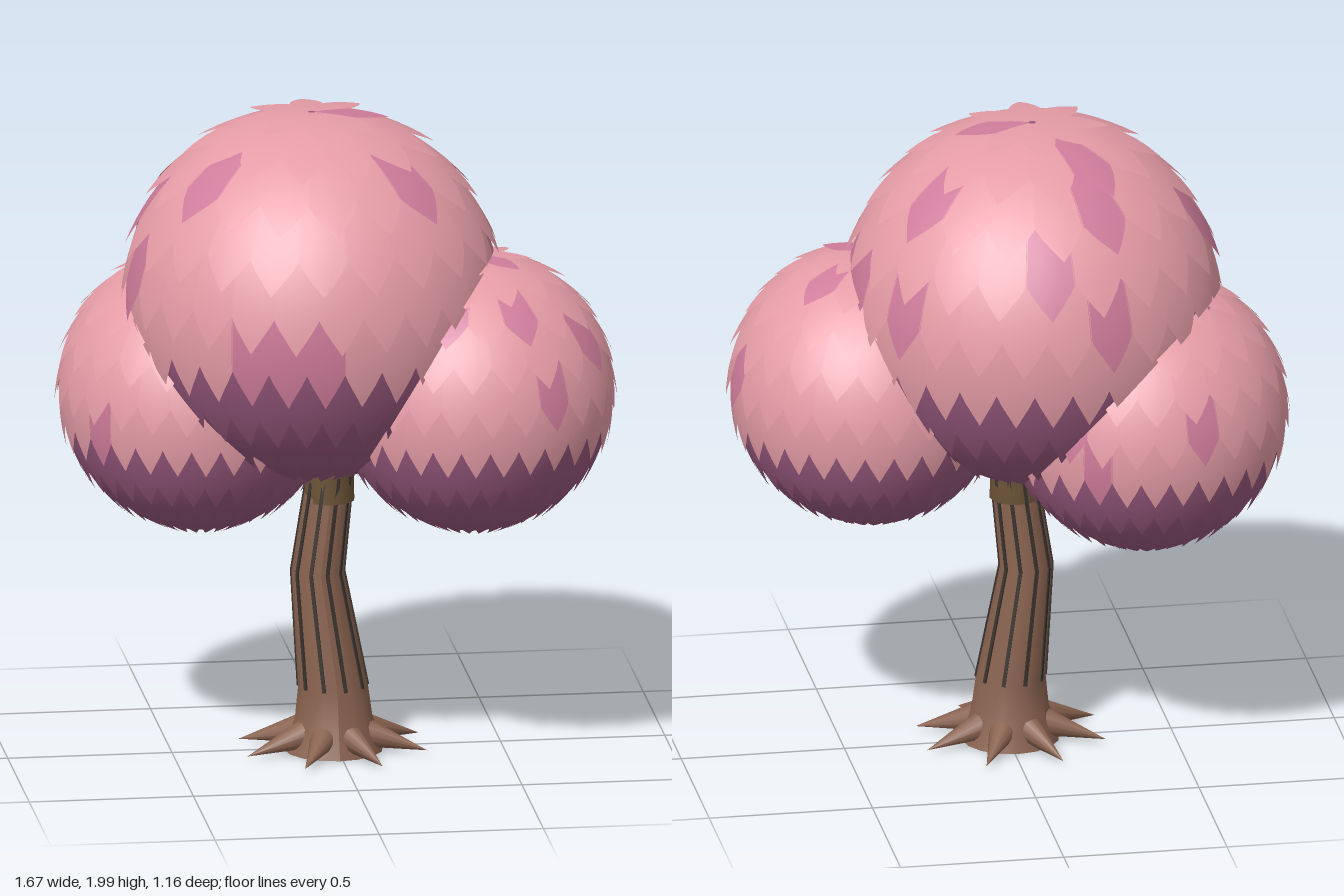
import * as THREE from 'three';
import { mergeGeometries } from 'three/addons/utils/BufferGeometryUtils.js';

const mat = (color, side = THREE.FrontSide) => new THREE.MeshStandardMaterial({ color, side });
const bark = mat(0x8a6350);
const groove = mat(0x3b342f);
const collarBark = mat(0x6a5236);
const petalMats = {
  pink: mat(0xe59ca6, THREE.DoubleSide),
  rose: mat(0xcf7c9b, THREE.DoubleSide),
  purple: mat(0x99597f, THREE.DoubleSide),
};

function seeded(seed) {
  return () => {
    seed = (seed * 16807) % 2147483647;
    return seed / 2147483647;
  };
}

function add(parent, name, geometry, material) {
  const mesh = new THREE.Mesh(geometry, material);
  mesh.name = name;
  parent.add(mesh);
  return mesh;
}

// Grid of points (rows running downward, columns turning from +z toward +x)
function gridGeometry(rows, cols, point) {
  const pos = [], uv = [], index = [];
  for (let i = 0; i <= rows; i++) {
    for (let j = 0; j <= cols; j++) {
      pos.push(...point(i / rows, j / cols));
      uv.push(j / cols, i / rows);
      if (i < rows && j < cols) {
        const a = i * (cols + 1) + j, b = a + cols + 1;
        index.push(a, b, a + 1, a + 1, b, b + 1);
      }
    }
  }
  const g = new THREE.BufferGeometry();
  g.setAttribute('position', new THREE.Float32BufferAttribute(pos, 3));
  g.setAttribute('uv', new THREE.Float32BufferAttribute(uv, 2));
  g.setIndex(index);
  g.computeVertexNormals();
  return g;
}

// One pointed petal lying on a unit ball, lifting away toward its tip
function petal(tipAngle, step, count, phi) {
  const top = Math.max(0.02, tipAngle - 1.9 * step);
  const shoulder = Math.max(0.3, 1 - (0.6 * step) / (tipAngle - top));
  return gridGeometry(9, 4, (t, s) => {
    const theta = top + (tipAngle - top) * t;
    const width = t < shoulder ? 1 : (1 - t) / (1 - shoulder);
    const a = phi + (s * 2 - 1) * (Math.PI / count) * 1.03 * width;
    const r = 0.985 + 0.045 * t * t;
    return [r * Math.sin(theta) * Math.sin(a), r * Math.cos(theta), r * Math.sin(theta) * Math.cos(a)];
  });
}

// Ball of blossom: rows of overlapping petals over a plain core
function blossom(name, x, y, z, radius, seed) {
  const group = new THREE.Group();
  group.name = name;
  const random = seeded(seed);
  const step = THREE.MathUtils.degToRad(17.8);
  const counts = [8, 13, 18, 22, 26, 30, 32, 30, 25, 18];
  const sets = { pink: [], rose: [], purple: [] };
  counts.forEach((count, row) => {
    const tip = THREE.MathUtils.degToRad(24) + row * step;
    const turn = random() * 0.3 + (row % 2) * 0.5;
    for (let k = 0; k < count; k++) {
      const tone = row > 5 ? 'purple' : random() < 0.13 ? 'rose' : 'pink';
      sets[tone].push(petal(Math.min(tip, 3.1), step, count, ((k + turn) / count) * Math.PI * 2));
    }
  });
  for (const tone in sets) add(group, tone + 'Petals', mergeGeometries(sets[tone]), petalMats[tone]);
  add(group, 'core', new THREE.SphereGeometry(0.98, 32, 24), petalMats.purple);
  group.scale.setScalar(radius);
  group.position.set(x, y, z);
  return group;
}

// Trunk sections from the top down: x, y, z, radius
const sections = [
  [-0.01, 1.0, 0.01, 0.068],
  [-0.02, 0.86, 0.01, 0.07],
  [-0.058, 0.56, 0.01, 0.08],
  [-0.012, 0.2, 0.015, 0.106],
  [-0.01, 0.1, 0.015, 0.118],
  [-0.01, 0.0, 0.015, 0.15],
];

function trunkPoint(section, angle, extra = 0) {
  const [x, y, z, r] = section;
  return new THREE.Vector3(x + (r + extra) * Math.sin(angle), y, z + (r + extra) * Math.cos(angle));
}

export function createModel() {
  const tree = new THREE.Group();
  tree.name = 'blossomTree';

  // Bent trunk with a flared foot
  const last = sections.length - 1;
  add(tree, 'trunk', gridGeometry(last, 16, (t, s) =>
    trunkPoint(sections[Math.round(t * last)], s * Math.PI * 2).toArray()), bark);
  const foot = add(tree, 'trunkBottom', new THREE.CircleGeometry(0.15, 16), bark);
  foot.rotation.x = Math.PI / 2;
  foot.position.set(-0.01, 0.001, 0.015);

  // Darker collar just below the blossom
  const collar = add(tree, 'collar', new THREE.CylinderGeometry(0.073, 0.077, 0.12, 16, 1), collarBark);
  collar.position.set(-0.023, 0.84, 0.01);

  // Thin dark bark grooves following the bend
  const strips = [];
  for (let k = 0; k < 10; k++) {
    const angle = ((k + 0.4) / 10) * Math.PI * 2;
    for (let i = 1; i < 3; i++) {
      const a = trunkPoint(sections[i], angle, -0.002);
      const b = trunkPoint(sections[i + 1], angle, -0.002);
      const strip = new THREE.BoxGeometry(0.011, 0.011, a.distanceTo(b));
      const frame = new THREE.Object3D();
      frame.up.set(Math.sin(angle), 0, Math.cos(angle));
      frame.position.copy(a).lerp(b, 0.5);
      frame.lookAt(a);
      frame.updateMatrix();
      strips.push(strip.applyMatrix4(frame.matrix));
    }
  }
  add(tree, 'barkGrooves', mergeGeometries(strips), groove);

  // Pointed roots around the foot
  const roots = new THREE.Group();
  roots.name = 'roots';
  for (let k = 0; k < 8; k++) {
    const angle = ((k + 0.5) / 8) * Math.PI * 2;
    const root = add(roots, 'root', new THREE.ConeGeometry(0.05, 0.22, 12), bark);
    const start = new THREE.Vector3(0.08 * Math.sin(angle), 0.062, 0.08 * Math.cos(angle));
    const end = new THREE.Vector3(0.295 * Math.sin(angle), 0.012, 0.265 * Math.cos(angle));
    root.position.copy(start).lerp(end, 0.5).add(new THREE.Vector3(-0.012, 0, 0.015));
    root.quaternion.setFromUnitVectors(new THREE.Vector3(0, 1, 0), end.sub(start).normalize());
  }
  tree.add(roots);

  // Crown
  tree.add(
    blossom('mainBlossom', -0.075, 1.435, 0, 0.565, 11),
    blossom('leftBlossom', 0.4, 1.14, 0.115, 0.427, 57),
    blossom('rightBlossom', -0.395, 1.105, -0.14, 0.43, 203),
  );
  return tree;
}
